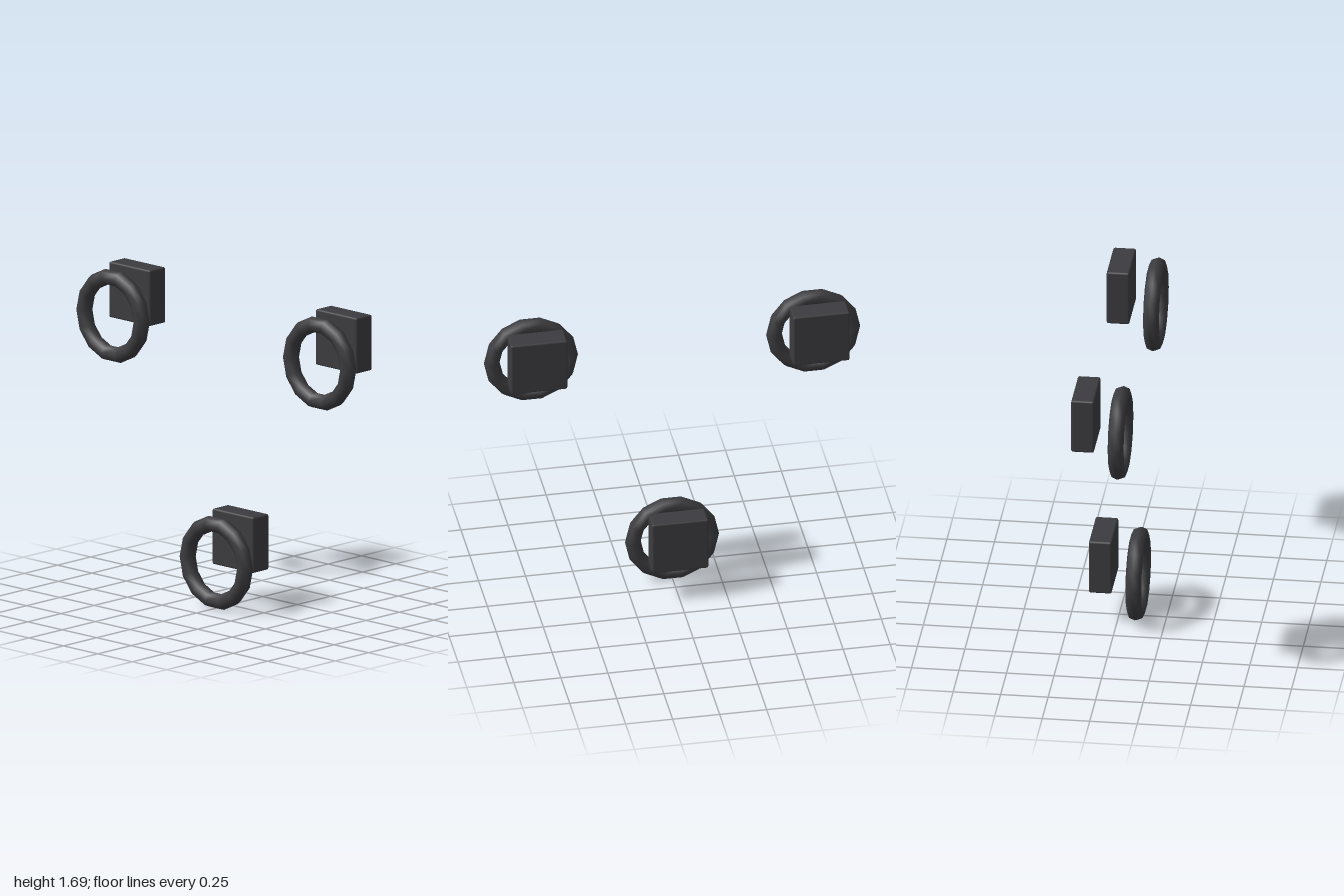
import * as THREE from 'three';
import { RoundedBoxGeometry } from 'three/addons/geometries/RoundedBoxGeometry.js';

export function createModel() {
  const model = new THREE.Group();
  const material = new THREE.MeshStandardMaterial({ color: 0x3c3c40 });

  // Ring with 14 segments, flat at top and bottom
  const ringGeometry = new THREE.TorusGeometry(0.208, 0.042, 8, 14);
  // Softly bevelled square block
  const blockGeometry = new RoundedBoxGeometry(0.3, 0.3, 0.12, 1, 0.01);

  // One ring with its block behind it, centred on the ring
  function ringUnit(name, x, y) {
    const unit = new THREE.Group();
    unit.name = name;
    const ring = new THREE.Mesh(ringGeometry, material);
    ring.name = 'ring';
    ring.position.z = 0.1;
    const block = new THREE.Mesh(blockGeometry, material);
    block.name = 'block';
    block.position.set(0, 0.096, -0.082);
    unit.add(ring, block);
    unit.position.set(x, y, 0);
    model.add(unit);
  }

  ringUnit('leftUnit', 0.75, 1.444);
  ringUnit('rightUnit', -0.75, 1.444);
  ringUnit('lowerUnit', 0, 0.244);
  return model;
}
